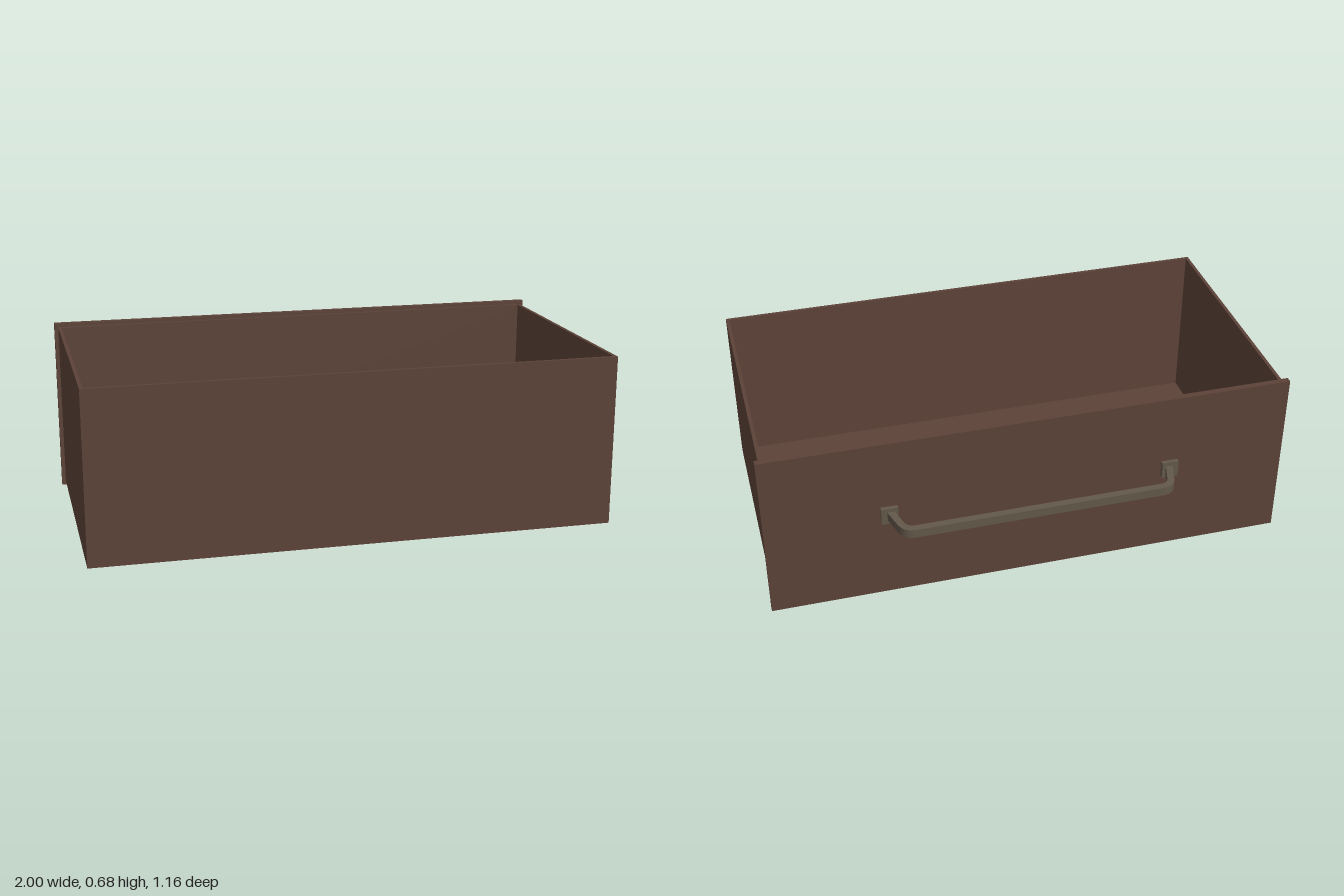
import * as THREE from 'three';

const wood = new THREE.MeshStandardMaterial({ color: 0x5c4238 });
const metal = new THREE.MeshStandardMaterial({ color: 0x63584a });

// Box given by its minimum and maximum corners
function box(name, material, [x0, y0, z0], [x1, y1, z1]) {
  const mesh = new THREE.Mesh(new THREE.BoxGeometry(x1 - x0, y1 - y0, z1 - z0), material);
  mesh.position.set((x0 + x1) / 2, (y0 + y1) / 2, (z0 + z1) / 2);
  mesh.name = name;
  return mesh;
}

// Flat bar bent into a pull, drawn in x and outward distance, extruded in height
function pullBar(height) {
  const s = new THREE.Shape();
  s.moveTo(-0.553, 0.443);
  s.lineTo(-0.527, 0.535);
  s.bezierCurveTo(-0.517, 0.565, -0.5, 0.58, -0.465, 0.58);
  s.lineTo(0.465, 0.58);
  s.bezierCurveTo(0.5, 0.58, 0.517, 0.565, 0.527, 0.535);
  s.lineTo(0.553, 0.443);
  s.lineTo(0.526, 0.443);
  s.lineTo(0.502, 0.528);
  s.bezierCurveTo(0.495, 0.546, 0.485, 0.553, 0.465, 0.553);
  s.lineTo(-0.465, 0.553);
  s.bezierCurveTo(-0.485, 0.553, -0.495, 0.546, -0.502, 0.528);
  s.lineTo(-0.526, 0.443);
  s.closePath();
  const g = new THREE.ExtrudeGeometry(s, { depth: height, bevelEnabled: false, curveSegments: 8 });
  g.translate(0, 0, -height / 2);
  g.rotateX(-Math.PI / 2); // outward becomes -z, thickness becomes y
  return g;
}

export function createModel() {
  const model = new THREE.Group();
  model.name = 'drawer';

  // Open tray
  const X = 0.985, Y0 = 0.015, Y1 = 0.665, Z0 = -0.42, Z1 = 0.58, T = 0.013;
  const tray = new THREE.Group();
  tray.name = 'tray';
  tray.add(
    box('floor', wood, [-X, Y0, Z0], [X, Y0 + T, Z1]),
    box('innerFaceWall', wood, [-X, Y0 + T, Z0], [X, Y1, Z0 + T]),
    box('farWall', wood, [-X, Y0 + T, Z1 - T], [X, Y1, Z1]),
    box('leftWall', wood, [X - T, Y0 + T, Z0 + T], [X, Y1, Z1 - T]),
    box('rightWall', wood, [-X, Y0 + T, Z0 + T], [-X + T, Y1, Z1 - T])
  );
  model.add(tray);

  // Overhanging panel that carries the handle
  model.add(box('facePanel', wood, [-1, 0, -0.443], [1, 0.68, Z0]));

  // Handle with two mounting plates
  const handle = new THREE.Group();
  handle.name = 'handle';
  const bar = new THREE.Mesh(pullBar(0.035), metal);
  bar.name = 'pullBar';
  bar.position.y = 0.368;
  handle.add(bar);
  for (const side of [-1, 1]) {
    const x = side * 0.54;
    handle.add(box('mountingPlate', metal, [x - 0.032, 0.334, -0.458], [x + 0.032, 0.402, -0.443]));
  }
  model.add(handle);
  return model;
}
